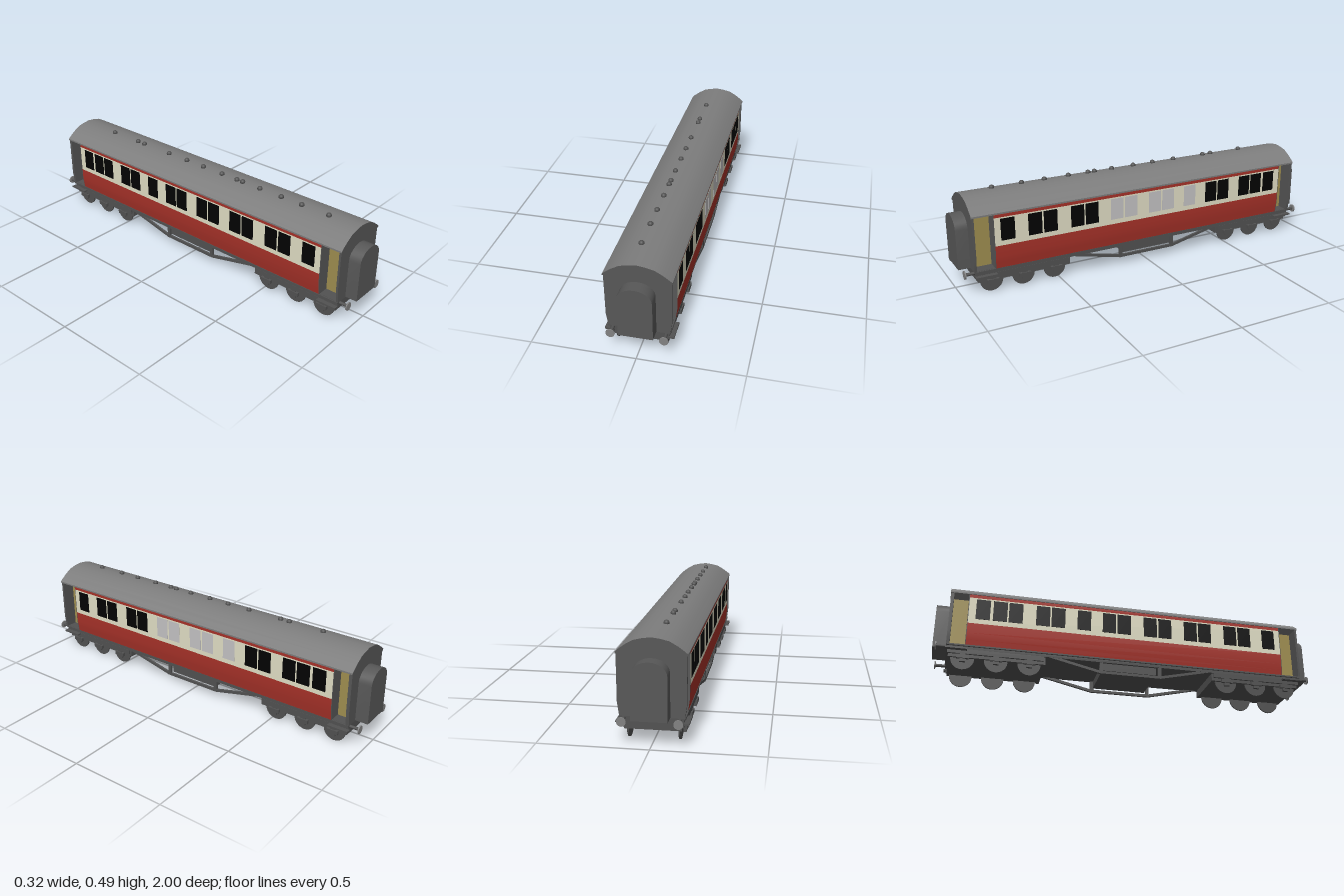
import * as THREE from 'three';
import { toCreasedNormals } from 'three/addons/utils/BufferGeometryUtils.js';

const mat = (name, color) => new THREE.MeshStandardMaterial({ name, color });

export function createModel() {
  const model = new THREE.Group();
  model.name = 'railwayCarriage';
  const roofGrey = mat('roofGrey', 0x7d7d7d);
  const endGrey = mat('endGrey', 0x585858);
  const frameGrey = mat('frameGrey', 0x525252);
  const bufferGrey = mat('bufferGrey', 0x828282);
  const red = mat('red', 0xa83229);
  const cream = mat('cream', 0xe2dfc6);
  const black = mat('windowBlack', 0x020202);
  const pale = mat('frostedGlass', 0xc4c3c4);
  const gold = mat('doorGold', 0xa08f50);

  const add = (name, geo, material, x = 0, y = 0, z = 0) => {
    const m = new THREE.Mesh(geo, material);
    m.name = name;
    m.position.set(x, y, z);
    model.add(m);
    return m;
  };
  // box given by its limits
  const box = (name, material, x0, x1, y0, y1, z0, z1) =>
    add(name, new THREE.BoxGeometry(Math.abs(x1 - x0), y1 - y0, Math.abs(z1 - z0)), material,
      (x0 + x1) / 2, (y0 + y1) / 2, (z0 + z1) / 2);
  // cross-section in x and y, extruded from z0 to z1
  const section = (name, material, points, z0, z1) => {
    const shape = new THREE.Shape(points.map(([x, y]) => new THREE.Vector2(x, y)));
    const geo = new THREE.ExtrudeGeometry(shape, { depth: z1 - z0, bevelEnabled: false });
    add(name, toCreasedNormals(geo, 0.5), material, 0.001, 0, z0);
  };
  const mirrored = (right) => [...right, ...right.slice().reverse().map(([x, y]) => [-x, y])];

  // tumblehome side profile, cut to a height band
  const side = [[0.143, 0.122], [0.147, 0.15], [0.152, 0.185], [0.153, 0.41]];
  const widthAt = (y) => {
    for (let i = 1; i < side.length; i++) {
      const [x0, y0] = side[i - 1], [x1, y1] = side[i];
      if (y <= y1) return x0 + (x1 - x0) * (y - y0) / (y1 - y0);
    }
    return 0.153;
  };
  const band = (y0, y1) => mirrored([[widthAt(y0), y0],
    ...side.filter(([, y]) => y > y0 && y < y1), [widthAt(y1), y1]]);

  // painted body
  section('lowerBody', red, band(0.122, 0.24), -0.84, 0.832);
  section('windowBand', cream, band(0.24, 0.383), -0.84, 0.832);
  section('upperStripe', red, band(0.383, 0.402), -0.84, 0.832);

  // partitions and end walls either side of the recessed vestibules
  const full = band(0.122, 0.405);
  section('frontPartition', endGrey, full, 0.832, 0.835);
  section('backPartition', endGrey, full, -0.843, -0.84);
  section('frontEndWall', endGrey, full, 0.928, 0.939);
  section('backEndWall', endGrey, full, -0.934, -0.918);

  // recessed vestibule doors along the corridor
  box('frontVestibuleDoors', gold, -0.082, 0.082, 0.122, 0.402, 0.834, 0.93);
  box('backVestibuleDoors', gold, -0.082, 0.082, 0.122, 0.402, -0.92, -0.842);

  // curved roof with darker ends
  const arc = [[0.157, 0.4], [0.157, 0.408], [0.146, 0.418], [0.113, 0.442], [0.078, 0.462],
    [0.04, 0.471], [0.002, 0.476]];
  section('roof', [endGrey, roofGrey], mirrored(arc), -0.936, 0.942);

  // roof ventilators
  for (const z of [-0.68, -0.49, -0.44, -0.25, -0.12, -0.002, 0.125, 0.225, 0.262, 0.372, 0.503, 0.624, 0.778])
    add('roofVentilator', new THREE.SphereGeometry(0.0135, 14, 10), frameGrey, -0.021, 0.4775, z);

  // windows: lower z edge of each pane, five frosted ones on the +x side
  const panes = [-0.804, -0.718, -0.639, -0.5, -0.421, -0.286, -0.153, -0.074,
    0.067, 0.147, 0.288, 0.367, 0.511, 0.591, 0.73];
  for (const s of [1, -1]) panes.forEach((z, i) => {
    const material = s > 0 && i >= 5 && i <= 9 ? pale : black;
    box('window', material, s * 0.15 + 0.001, s * 0.1538 + 0.001, 0.265, 0.376, z, z + 0.071);
  });

  // gangways with arched tops
  const arch = [[0.08, 0.125], [0.08, 0.325]];
  for (let i = 1; i <= 5; i++) {
    const a = i * Math.PI / 12;
    arch.push([0.08 * Math.cos(a), 0.325 + 0.061 * Math.sin(a)]);
  }
  const gangway = mirrored(arch);
  gangway.splice(arch.length, 0, [0, 0.386]);
  section('frontGangway', endGrey, gangway, 0.935, 1);
  section('backGangway', endGrey, gangway, -1, -0.93);

  // underframe floor and battery box
  box('underframe', frameGrey, -0.137, 0.137, 0.1, 0.124, -0.93, 0.935);
  box('solebarLip', frameGrey, -0.145, 0.145, 0.115, 0.123, -0.932, 0.937);
  box('batteryBox', frameGrey, -0.125, 0.125, 0.06, 0.102, -0.148, 0.136);

  // truss rods
  const rod = (x, z0, y0, z1, y1) => {
    const m = add('trussRod', new THREE.BoxGeometry(0.012, 0.014, Math.hypot(z1 - z0, y1 - y0) + 0.006),
      frameGrey, x, (y0 + y1) / 2, (z0 + z1) / 2);
    m.rotation.x = -Math.atan2(y1 - y0, z1 - z0);
  };
  for (const s of [1, -1]) {
    const x = s * 0.13;
    rod(x, -0.158, 0.046, 0.158, 0.046);
    rod(x, 0.158, 0.046, 0.445, 0.112);
    rod(x, -0.445, 0.112, -0.158, 0.046);
    for (const z of [-0.154, 0.154])
      box('trussPost', frameGrey, x - 0.006, x + 0.006, 0.045, 0.105, z - 0.009, z + 0.009);
  }

  // bogies, wheels and axle boxes
  for (const e of [1, -1]) {
    box('bogieBlock', frameGrey, -0.128, 0.128, 0.06, 0.101, e * 0.44, e * 0.92);
    for (const s of [1, -1]) {
      box('bogieSideFrame', frameGrey, s * 0.122, s * 0.138, 0.076, 0.101, e * 0.45, e * 0.925);
      for (const z of [0.52, 0.685, 0.849]) {
        const wheel = add('wheel', new THREE.CylinderGeometry(0.058, 0.058, 0.008, 24), frameGrey,
          s * 0.113, 0.058, e * z);
        wheel.rotation.z = Math.PI / 2;
        box('axleGuard', frameGrey, s * 0.124, s * 0.138, 0.035, 0.08, e * z - 0.014, e * z + 0.014);
        box('axleSpring', frameGrey, s * 0.13, s * 0.144, 0.05, 0.07, e * z - 0.03, e * z + 0.03);
      }
      // door step
      box('doorStep', frameGrey, s * 0.135, s * 0.161, 0.092, 0.1, e * 0.83, e * 0.937);
      // buffer
      const shaft = add('bufferShaft', new THREE.CylinderGeometry(0.008, 0.008, 0.055, 12), frameGrey,
        s * 0.123 + 0.002, 0.113, e * 0.955);
      const head = add('bufferHead', new THREE.CylinderGeometry(0.021, 0.021, 0.006, 20), bufferGrey,
        s * 0.123 + 0.002, 0.113, e * 0.983);
      shaft.rotation.x = head.rotation.x = Math.PI / 2;
    }
  }
  return model;
}
